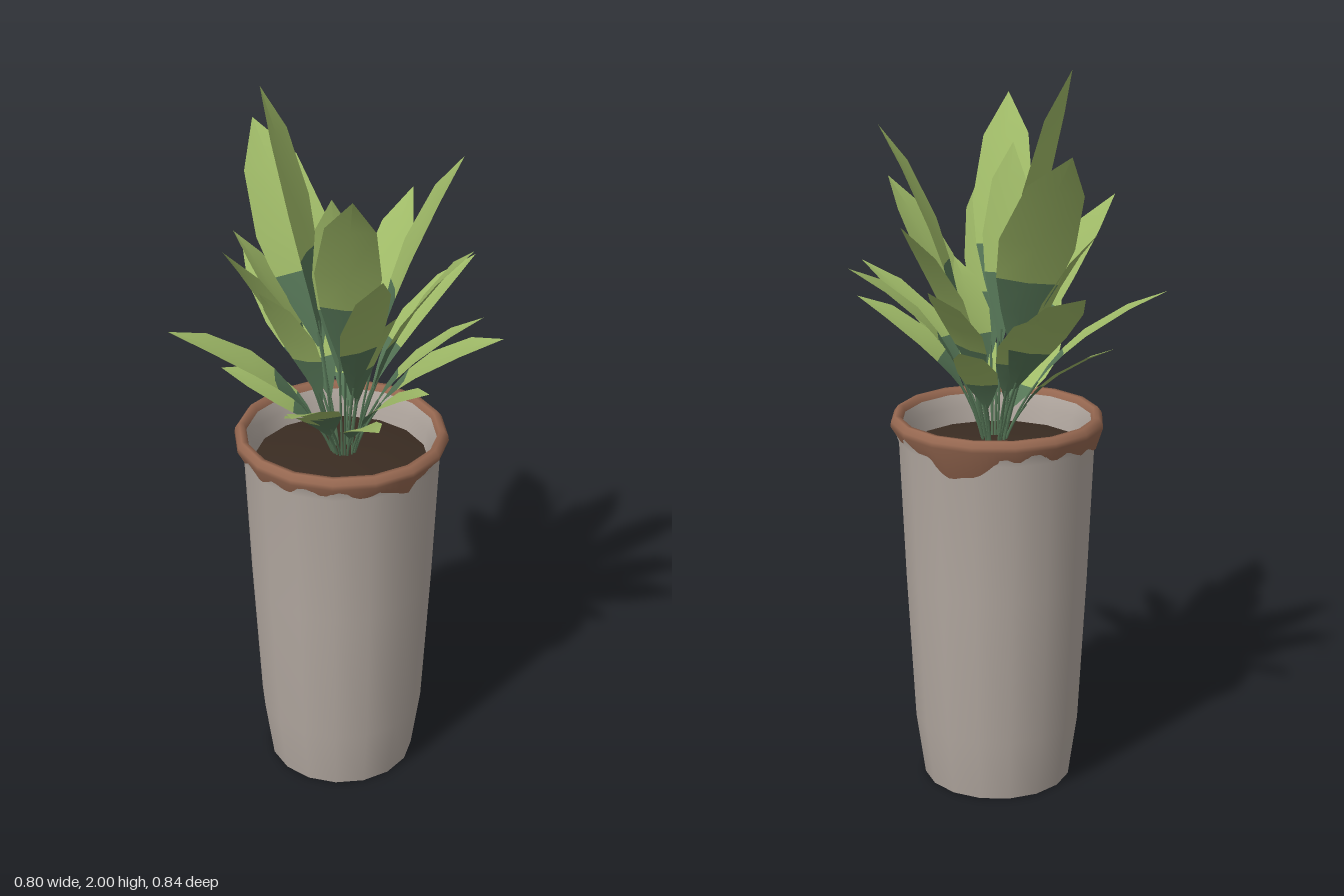
import * as THREE from 'three';

const SIDES = 16;
const mat = (name, color) => {
  const m = new THREE.MeshStandardMaterial({ color, side: THREE.DoubleSide });
  m.name = name;
  return m;
};

export function createModel() {
  const model = new THREE.Group();
  const clay = mat('grey glaze', 0xb2a8a0);
  const terracotta = mat('terracotta', 0x956750);
  const earth = mat('soil brown', 0x3a2c22);
  const green = mat('leaf green', 0xa0bb68);
  const darkGreen = mat('leaf base green', 0x557556);

  const add = (name, geometry, material, parent = model) => {
    const mesh = new THREE.Mesh(geometry, material);
    mesh.name = name;
    parent.add(mesh);
  };
  const lathe = (pts, segments = SIDES) =>
    new THREE.LatheGeometry(pts.map(([r, y]) => new THREE.Vector2(r, y)), segments);

  // Pot: wall open at the foot, inside and soil
  add('potWall', lathe([[0.207, 0], [0.232, 0.18], [0.254, 0.6], [0.27, 0.99], [0.286, 1.035]]), clay);
  add('potInside', lathe([[0.263, 1.05], [0.248, 1.01], [0.238, 0.94]]), clay);
  add('soil', lathe([[0.24, 0.965], [0.13, 0.985], [0, 0.99]]), earth);

  // Bare rim with an uneven lower edge, following the pot's facets
  const rim = lathe([[0.274, 0.99], [0.293, 1.035], [0.291, 1.048], [0.28, 1.063], [0.267, 1.062], [0.26, 1.045]], SIDES * 6);
  const p = rim.attributes.position;
  const step = (2 * Math.PI) / SIDES;
  const bump = (a, centre, width) => Math.exp(-(((a - centre) / width) ** 2));
  for (let i = 0; i < p.count; i++) {
    const x = p.getX(i), z = p.getZ(i);
    const a = Math.atan2(x, z);
    const local = ((a % step) + step) % step;
    const k = Math.cos(step / 2) / Math.cos(local - step / 2);
    p.setX(i, x * k);
    p.setZ(i, z * k);
    if (p.getY(i) < 0.995) {
      p.setY(i, 1.003 + 0.005 * Math.sin(5 * a) + 0.006 * Math.sin(17 * a + 1)
        - 0.028 * bump(a, 0, 0.1) - 0.048 * bump(a, 2.2, 0.3) - 0.025 * bump(a, -2.4, 0.25));
    }
  }
  add('potRim', rim, terracotta);

  // Leaves: tip x, y, z, half width of the blade, roll (positive lifts the left edge)
  const leaves = [
    [-0.10, 2.0, -0.2, 0.083, 0.1], [-0.23, 1.88, 0.31, 0.085, -0.15], [0.25, 1.84, 0.19, 0.08, 0],
    [0.045, 1.82, -0.42, 0.1, -0.35], [0.13, 1.67, 0.36, 0.085, 0.15], [-0.1, 1.78, 0.08, 0.065, 0],
    [-0.14, 1.65, 0.32, 0.065, 0.15], [-0.32, 1.645, -0.085, 0.065, 0.25], [-0.14, 1.59, -0.275, 0.075, 0.2],
    [0.36, 1.63, -0.12, 0.075, -0.25], [-0.265, 1.54, -0.01, 0.055, 0.4], [0.40, 1.49, 0.09, 0.065, -0.2],
    [0.32, 1.47, -0.185, 0.065, -0.2], [0, 1.46, -0.42, 0.072, -0.3], [0.015, 1.46, 0.2, 0.05, 0],
    [0.185, 1.43, 0.42, 0.065, 0.15], [-0.40, 1.395, -0.225, 0.065, -0.1], [0.05, 1.39, -0.28, 0.055, -0.2],
    [0.305, 1.38, 0.225, 0.055, -0.2], [-0.355, 1.31, 0.225, 0.06, 0.2], [0.005, 1.30, 0.34, 0.05, 0.2],
    [0.22, 1.295, -0.17, 0.055, 0.1], [-0.25, 1.25, -0.2, 0.06, -0.2], [-0.255, 1.21, 0.07, 0.05, 0.2],
    [-0.13, 1.22, 0.3, 0.045, 0.15],
  ];

  // Blade strip with a shallow fold along the midrib; rows are [t, width factor]
  const blade = (curve, across, halfWidth, roll, rows) => {
    const pos = [], index = [];
    rows.forEach(([t, w], r) => {
      const c = curve.getPoint(t);
      const tangent = curve.getTangent(t);
      const side = across.clone().applyAxisAngle(tangent, roll);
      const up = new THREE.Vector3().crossVectors(side, tangent);
      for (const s of [-1, 0, 1]) {
        const v = c.clone().addScaledVector(side, s * w * halfWidth);
        v.addScaledVector(up, Math.abs(s) * w * halfWidth * 0.1);
        pos.push(v.x, v.y, v.z);
      }
      if (r > 0) {
        for (let j = 0; j < 2; j++) {
          const a = (r - 1) * 3 + j, b = r * 3 + j;
          index.push(a, a + 1, b, a + 1, b + 1, b);
        }
      }
    });
    const g = new THREE.BufferGeometry();
    g.setAttribute('position', new THREE.Float32BufferAttribute(pos, 3));
    g.setIndex(index);
    g.computeVertexNormals();
    return g;
  };

  leaves.forEach(([x, y, z, halfWidth, roll]) => {
    const leaf = new THREE.Group();
    leaf.name = 'leaf';
    model.add(leaf);
    const reach = Math.hypot(x, z);
    const dx = x / reach, dz = z / reach;
    // Low leaves rise steeply and then spread flatter than tall ones
    const [out, rise] = y < 1.5 ? [0.26, 0.68] : [0.34, 0.64];
    const curve = new THREE.QuadraticBezierCurve3(
      new THREE.Vector3(dx * 0.03 + 0.01, 0.98, dz * 0.03),
      new THREE.Vector3(x * out, 0.98 + (y - 0.98) * rise, z * out),
      new THREE.Vector3(x, y, z));
    // Points to the leaf's right when looking from stem to tip
    const across = new THREE.Vector3(-dz, 0, dx);

    const stemPath = new THREE.CatmullRomCurve3([0, 0.1, 0.2, 0.32].map(t => curve.getPoint(t)));
    add('stem', new THREE.TubeGeometry(stemPath, 4, 0.004, 4), darkGreen, leaf);
    add('bladeBase', blade(curve, across, halfWidth, roll, [[0.28, 0.08], [0.4, 0.52], [0.5, 0.82]]), darkGreen, leaf);
    add('blade', blade(curve, across, halfWidth, roll, [[0.5, 0.82], [0.63, 1], [0.84, 0.75], [1, 0]]), green, leaf);
  });

  return model;
}
